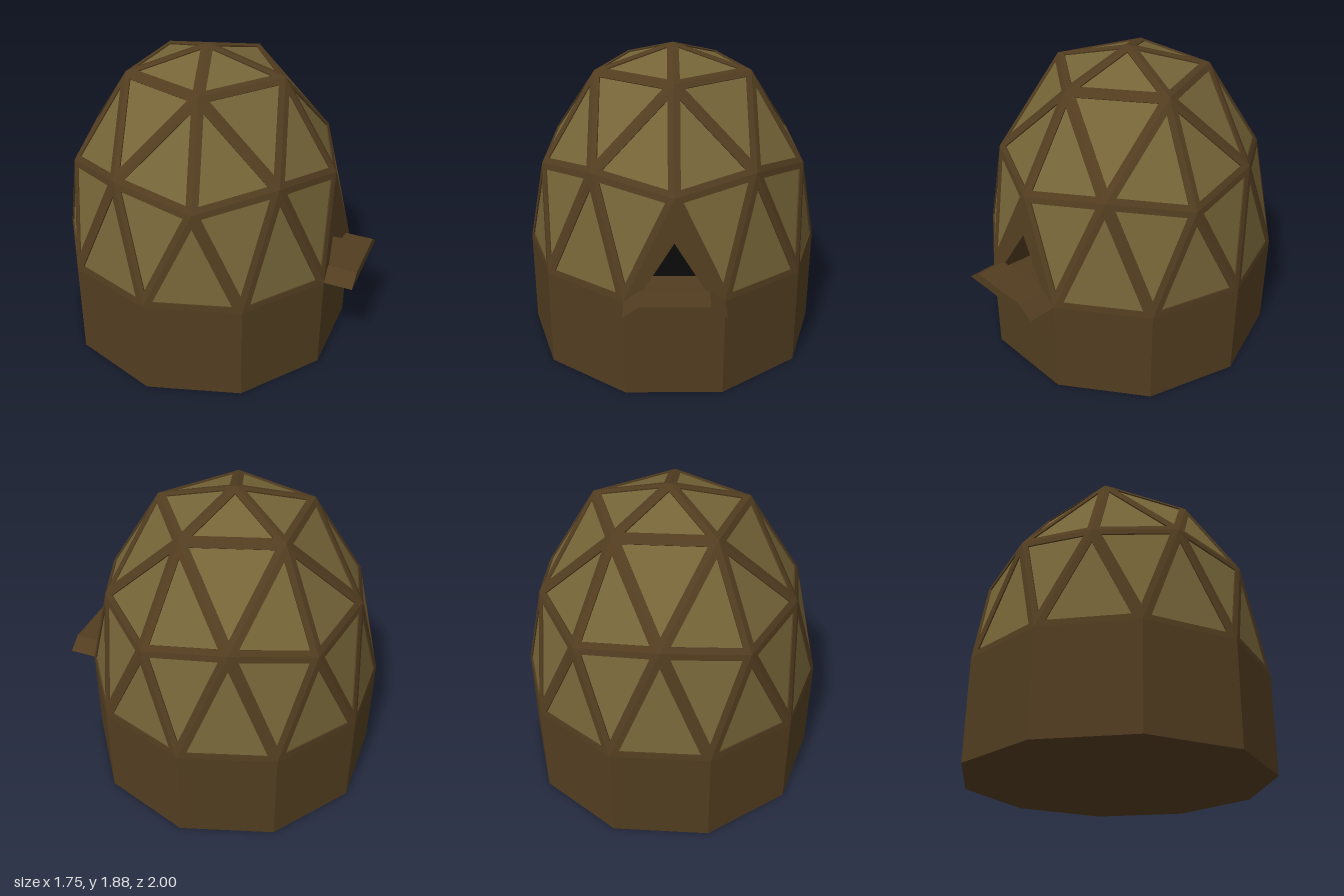
import * as THREE from 'three';

const CZ = -0.08;      // the dome's axis sits slightly back, balancing the ledge
const BASE_Y = 0.607;
const RADIUS = 0.92;
const STRUT = 0.036;   // half width of a strut
const RECESS = 0.008;  // how far the panels sit behind the struts

const mat = (color) => new THREE.MeshStandardMaterial({ color, flatShading: true, side: THREE.DoubleSide });
const woodMat = mat(0x523d20);
const panelMat = mat(0x766538);
const darkMat = mat(0x0a0a0a);

function named(geometry, material, name) {
  const mesh = new THREE.Mesh(geometry, material);
  mesh.name = name;
  return mesh;
}

function fromTriangles(points) {
  const g = new THREE.BufferGeometry().setFromPoints(points);
  g.computeVertexNormals();
  return g;
}

// Point on a ring around the axis, azimuth in degrees from +x toward +z
function ringPoint(r, y, deg) {
  const a = THREE.MathUtils.degToRad(deg);
  return new THREE.Vector3(r * Math.cos(a), y, CZ + r * Math.sin(a));
}

// The dome's triangles; the one with the doorway is left out
function domeFaces() {
  const apex = new THREE.Vector3(0, 1.875, CZ);
  const upper = (i) => ringPoint(0.484, 1.74, 72 * i);
  const middle = (k) => (k % 2 === 0 ? ringPoint(0.823, 1.203, 36 * k) : ringPoint(0.783, 1.278, 36 * k));
  const lower = (k) => ringPoint(RADIUS, BASE_Y, 36 * k + 18);
  const faces = [];
  for (let i = 0; i < 5; i++) {
    faces.push([apex, upper(i + 1), upper(i)]);
    faces.push([upper(i), upper(i + 1), middle(2 * i + 1)]);
    faces.push([upper(i), middle(2 * i + 1), middle(2 * i)]);
    faces.push([upper(i + 1), middle(2 * i + 2), middle(2 * i + 1)]);
  }
  for (let k = 0; k < 10; k++) {
    if (k !== 2) faces.push([middle(k), lower(k), lower(k - 1)]);
    faces.push([middle(k), middle(k + 1), lower(k)]);
  }
  return faces;
}

function buildDome() {
  const struts = [], panels = [];
  for (const [a, b, c] of domeFaces()) {
    const normal = new THREE.Triangle(a, b, c).getNormal(new THREE.Vector3());
    const la = b.distanceTo(c), lb = c.distanceTo(a), lc = a.distanceTo(b), sum = la + lb + lc;
    const centre = new THREE.Vector3()
      .addScaledVector(a, la / sum).addScaledVector(b, lb / sum).addScaledVector(c, lc / sum);
    const inradius = 2 * new THREE.Triangle(a, b, c).getArea() / sum;
    const outer = [a, b, c];
    // inset every side by the same width, then sink the panel a little
    const inner = outer.map((v) => v.clone().lerp(centre, STRUT / inradius));
    // keep each face turned away from the dome's middle
    const outward = normal.dot(centre.clone().sub(new THREE.Vector3(0, BASE_Y, CZ))) > 0;
    if (!outward) { outer.reverse(); inner.reverse(); normal.negate(); }
    const sunk = inner.map((v) => v.clone().addScaledVector(normal, -RECESS));
    for (let i = 0; i < 3; i++) {
      const j = (i + 1) % 3;
      struts.push(outer[i], outer[j], inner[j], outer[i], inner[j], inner[i]);
      struts.push(inner[i], inner[j], sunk[j], inner[i], sunk[j], sunk[i]);
    }
    panels.push(...sunk);
  }
  const dome = new THREE.Group();
  dome.name = 'dome';
  dome.add(named(fromTriangles(struts), woodMat, 'struts'));
  dome.add(named(fromTriangles(panels), panelMat, 'panels'));
  return dome;
}

// Doorway and ledge, built facing +z with the wall's lower edge at the origin
function buildEntrance() {
  const entrance = new THREE.Group();
  entrance.name = 'entrance';
  const apothem = RADIUS * Math.cos(Math.PI / 10 / 1) ;
  const half = RADIUS * Math.sin(Math.PI / 10);
  const lean = Math.atan2(apothem - 0.823, 1.203 - BASE_Y);
  const slope = Math.hypot(apothem - 0.823, 1.203 - BASE_Y);

  // thick triangular wall with a triangular hole
  const wall = new THREE.Shape([[-half, 0], [half, 0], [0, slope]].map((p) => new THREE.Vector2(...p)));
  const opening = [[-0.206, 0.015], [0, 0.345], [0.206, 0.015]].map((p) => new THREE.Vector2(...p));
  wall.holes.push(new THREE.Path(opening));
  const depth = 0.3;
  const doorway = new THREE.Group();
  doorway.name = 'doorway';
  const frame = named(new THREE.ExtrudeGeometry(wall, { depth, bevelEnabled: false }), woodMat, 'doorFrame');
  frame.position.z = -depth;
  const back = named(new THREE.ShapeGeometry(new THREE.Shape(opening)), darkMat, 'darkInterior');
  back.position.z = -depth + 0.004;
  doorway.add(frame, back);
  doorway.rotation.x = -lean;
  entrance.add(doorway);

  // ledge with sloping ends
  const profile = new THREE.Shape(
    [[-half, 0], [half, 0], [half - 0.09, 0.065], [-half + 0.09, 0.065]].map((p) => new THREE.Vector2(...p)));
  const ledge = named(new THREE.ExtrudeGeometry(profile, { depth: 0.18, bevelEnabled: false }), woodMat, 'ledge');
  ledge.position.z = -0.01;
  entrance.add(ledge);

  // the doorway wall is turned 18 degrees toward +x
  const turn = Math.PI / 10;
  entrance.rotation.y = turn;
  entrance.position.set(apothem * Math.sin(turn), BASE_Y, CZ + apothem * Math.cos(turn));
  return entrance;
}

export function createModel() {
  const model = new THREE.Group();
  model.name = 'domeHut';

  // ten-sided base wall
  const base = named(new THREE.CylinderGeometry(RADIUS, RADIUS, BASE_Y, 10), woodMat, 'baseWall');
  base.position.set(0, BASE_Y / 2, CZ);

  model.add(base, buildDome(), buildEntrance());
  return model;
}
